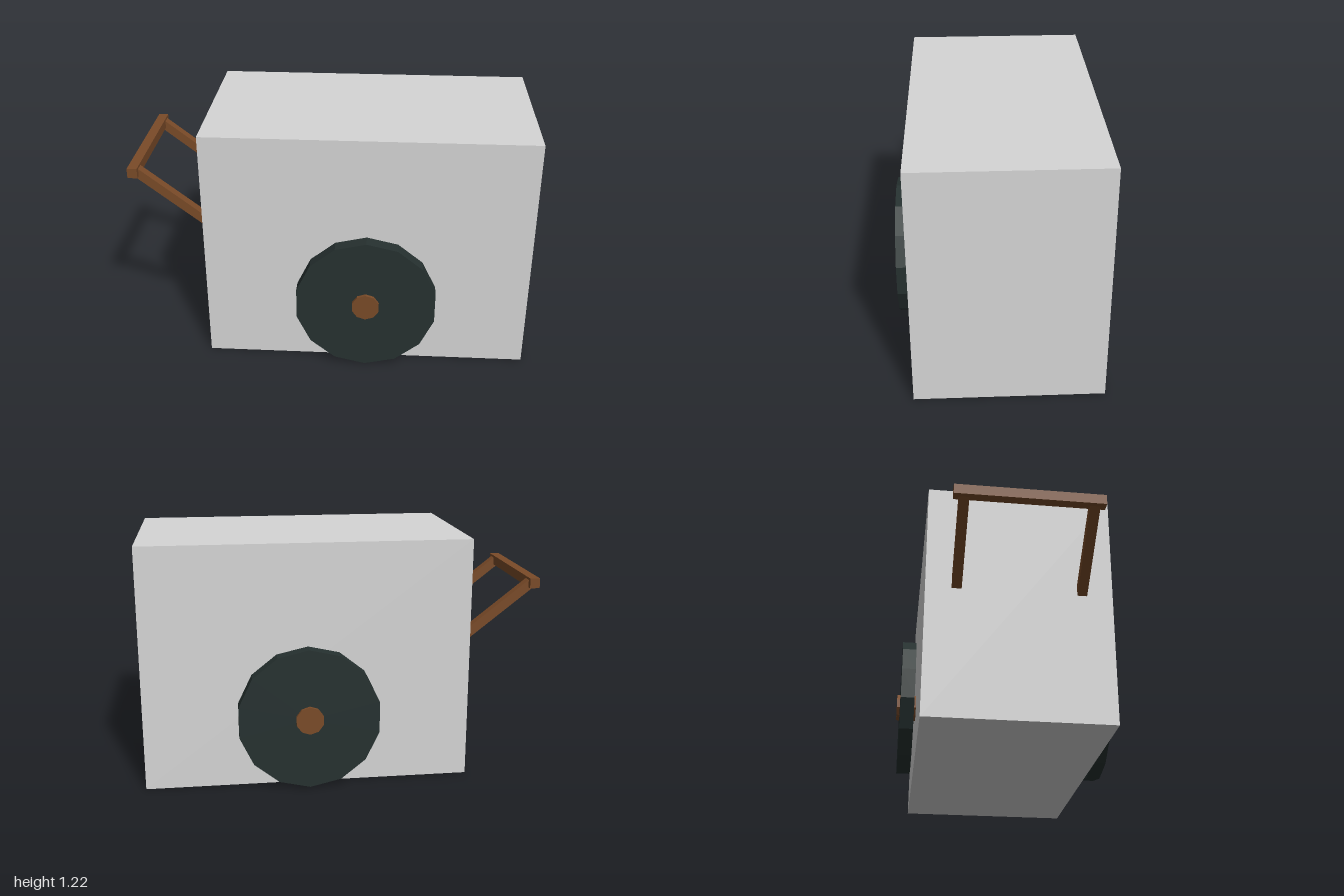
import * as THREE from 'three';

export function createModel() {
  const cart = new THREE.Group();
  cart.name = 'handcart';

  function paint(name, color) {
    const material = new THREE.MeshStandardMaterial({ color });
    material.name = name;
    return material;
  }
  const wood = paint('brown wood', 0x7a4b28);
  const dark = paint('dark wheel', 0x263130);
  const grey = paint('light grey body', 0xd6d6d6);

  function add(name, geometry, material, x, y, z) {
    const mesh = new THREE.Mesh(geometry, material);
    mesh.name = name;
    mesh.position.set(x, y, z);
    cart.add(mesh);
    return mesh;
  }

  // Faceted cylinder lying along z, with a corner pointing straight up
  function disc(radius, length, sides) {
    const geometry = new THREE.CylinderGeometry(radius, radius, length, sides).toNonIndexed();
    geometry.rotateX(Math.PI / 2);
    geometry.computeVertexNormals();
    return geometry;
  }

  // Closed box body
  const midX = 0.19, axleY = 0.358;
  add('body', new THREE.BoxGeometry(1.62, 1.216, 0.912), grey, midX, 0.608, 0);

  // Axle with its ends showing as hubs, and the two wheels
  add('axle', disc(0.07, 1.114, 10), wood, midX, axleY, 0);
  for (const s of [-1, 1]) add('wheel', disc(0.354, 0.07, 14), dark, midX, axleY, s * 0.506);

  // Sloping shafts fixed into the end of the body
  const start = new THREE.Vector2(-0.965, 0.962), end = new THREE.Vector2(-0.6, 0.675);
  const span = end.clone().sub(start);
  for (const s of [-1, 1]) {
    const shaft = add('handleShaft', new THREE.BoxGeometry(span.length(), 0.046, 0.048), wood,
      (start.x + end.x) / 2, (start.y + end.y) / 2, s * 0.305);
    shaft.rotation.z = Math.atan2(span.y, span.x);
  }

  // Crossbar
  add('handleBar', new THREE.BoxGeometry(0.05, 0.05, 0.71), wood, -0.975, 0.966, 0);

  return cart;
}
